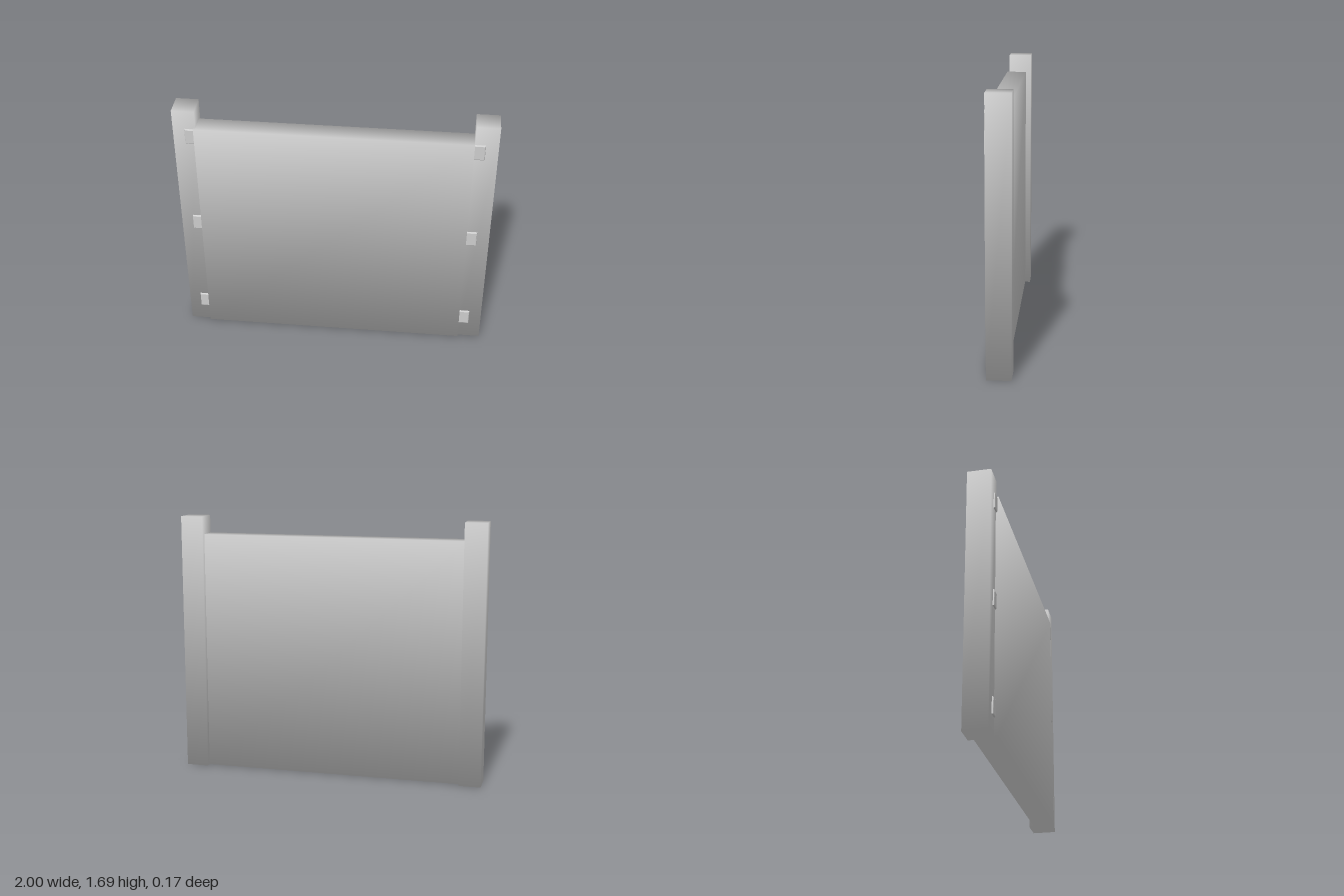
import * as THREE from 'three';

const material = new THREE.MeshStandardMaterial({ color: 0xcccccc });

// Box between two corners, with normals shared at each corner for soft shading
function softBox(name, [x0, y0, z0], [x1, y1, z1]) {
  const geometry = new THREE.BoxGeometry(x1 - x0, y1 - y0, z1 - z0);
  const { position, normal } = geometry.attributes;
  const n = new THREE.Vector3();
  for (let i = 0; i < position.count; i++) {
    n.set(Math.sign(position.getX(i)), Math.sign(position.getY(i)), Math.sign(position.getZ(i))).normalize();
    normal.setXYZ(i, n.x, n.y, n.z);
  }
  geometry.translate((x0 + x1) / 2, (y0 + y1) / 2, (z0 + z1) / 2);
  const mesh = new THREE.Mesh(geometry, material);
  mesh.name = name;
  return mesh;
}

// Thin plate with a bevelled rim, lying on the front of a post
function clip(name, x0, x1, y) {
  const bevel = 0.007, halfHeight = 0.053;
  const left = x0 + bevel, right = x1 - bevel;
  const h = halfHeight - bevel;
  const shape = new THREE.Shape([
    new THREE.Vector2(left, -h), new THREE.Vector2(right, -h),
    new THREE.Vector2(right, h), new THREE.Vector2(left, h),
  ]);
  const geometry = new THREE.ExtrudeGeometry(shape, {
    depth: 0.014, bevelEnabled: true, bevelThickness: bevel, bevelSize: bevel, bevelSegments: 2,
  });
  const mesh = new THREE.Mesh(geometry, material);
  mesh.position.set(0, y, 0.055);
  mesh.name = name;
  return mesh;
}

export function createModel() {
  const model = new THREE.Group();
  model.name = 'fencePanel';

  // Upright posts
  model.add(softBox('rightPost', [-1, 0, -0.085], [-0.858, 1.69, 0.066]));
  model.add(softBox('leftPost', [0.855, 0, -0.085], [1, 1.69, 0.066]));

  // Solid board between the posts
  model.add(softBox('board', [-0.87, 0, -0.05], [0.855, 1.572, 0.082]));

  // Three clips on each post
  for (const y of [0.172, 0.848, 1.513]) {
    model.add(clip('rightClip', -0.927, -0.86, y));
    model.add(clip('leftClip', 0.85, 0.921, y));
  }
  return model;
}
